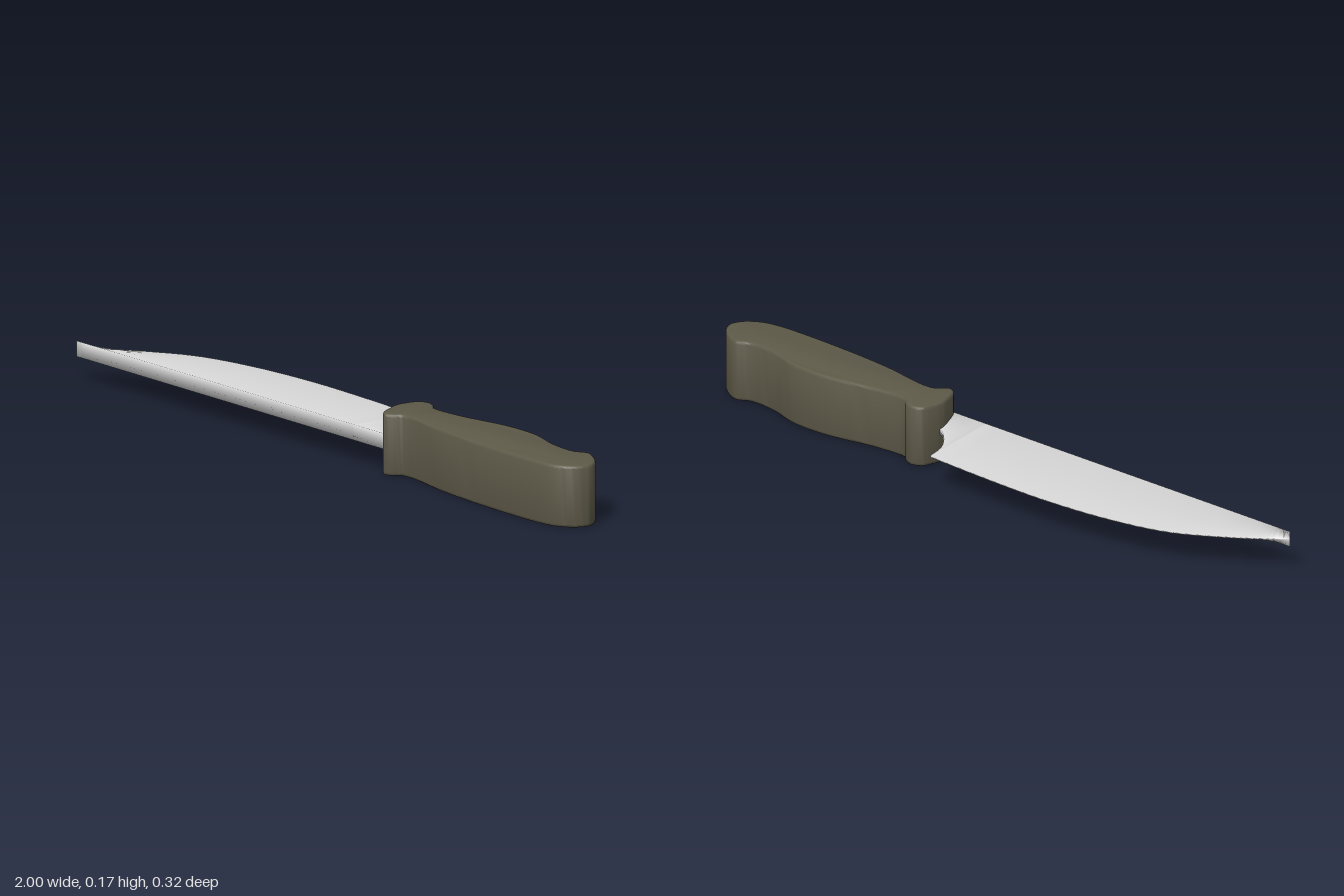
import * as THREE from 'three';
import { toCreasedNormals } from 'three/addons/utils/BufferGeometryUtils.js';

const steel = new THREE.MeshStandardMaterial({ color: 0xd8d8d8 });
steel.name = 'steel';
const olive = new THREE.MeshStandardMaterial({ color: 0x5e5a49 });
olive.name = 'olive grip';

const smooth = (pts, closed, n) =>
  new THREE.CatmullRomCurve3(pts.map(([x, z]) => new THREE.Vector3(x, 0, z)), closed, 'centripetal').getPoints(n);

// Blade: wedge-shaped cross-sections from tip to heel, thick spine and thin cutting edge
function bladeGeometry() {
  const belly = smooth([[-1, 0.055], [-0.93, 0], [-0.85, -0.052], [-0.716, -0.12], [-0.53, -0.155],
    [-0.315, -0.163], [-0.13, -0.153], [0.108, -0.131]], false, 36);
  const notch = smooth([[0.112, -0.128], [0.123, -0.072], [0.155, -0.022], [0.2, 0.018], [0.24, 0.03]], false, 12);
  const sections = [...belly, ...notch];
  const positions = [], index = [];
  const midY = 0.089;
  sections.forEach((p, i) => {
    const spineZ = 0.055 + (p.x + 1) * 0.043;
    const spineT = 0.022;
    const edgeT = i < belly.length ? 0.002 : 0.002 + 0.008 * (i - belly.length) / (notch.length - 1);
    positions.push(p.x, midY + spineT, spineZ, p.x, midY + edgeT, p.z,
      p.x, midY - edgeT, p.z, p.x, midY - spineT, spineZ);
    if (i === 0) return;
    const a = (i - 1) * 4, b = i * 4;
    for (let k = 0; k < 4; k++) {
      const n = (k + 1) % 4;
      index.push(a + k, b + k, a + n, a + n, b + k, b + n);
    }
  });
  // Heel cap
  const e = (sections.length - 1) * 4;
  index.push(e, e + 2, e + 1, e, e + 3, e + 2);
  const g = new THREE.BufferGeometry();
  g.setAttribute('position', new THREE.Float32BufferAttribute(positions, 3));
  g.setIndex(index);
  g.computeVertexNormals();
  return g;
}

// Handle: contoured outline with guard, finger swell and hooked butt, raised vertically
function handleGeometry() {
  const outline = smooth([[0.203, 0.03], [0.21, -0.01], [0.222, -0.035], [0.25, -0.046], [0.275, -0.038],
    [0.298, -0.018], [0.405, -0.016], [0.565, -0.037], [0.68, -0.03], [0.78, 0.003], [0.865, 0.012],
    [0.905, -0.004], [0.957, 0.022], [0.99, 0.058], [0.998, 0.085], [0.98, 0.122], [0.94, 0.148],
    [0.885, 0.158], [0.7, 0.151], [0.487, 0.128], [0.295, 0.094], [0.272, 0.112], [0.25, 0.122],
    [0.228, 0.104], [0.212, 0.065]], true, 120).slice(0, -1);
  const shape = new THREE.Shape(outline.map(p => new THREE.Vector2(p.x, -p.z)).reverse());
  const bevel = 0.008, height = 0.172;
  const g = new THREE.ExtrudeGeometry(shape, {
    depth: height - 2 * bevel, bevelEnabled: true, bevelSize: bevel, bevelThickness: bevel,
    bevelOffset: -bevel, bevelSegments: 3,
  });
  g.rotateX(-Math.PI / 2);
  g.translate(0, bevel, 0);
  return toCreasedNormals(g, 0.7);
}

export function createModel() {
  const model = new THREE.Group();
  model.name = 'knife';
  const blade = new THREE.Mesh(bladeGeometry(), steel);
  blade.name = 'blade';
  const handle = new THREE.Mesh(handleGeometry(), olive);
  handle.name = 'handle';
  model.add(blade, handle);
  return model;
}
